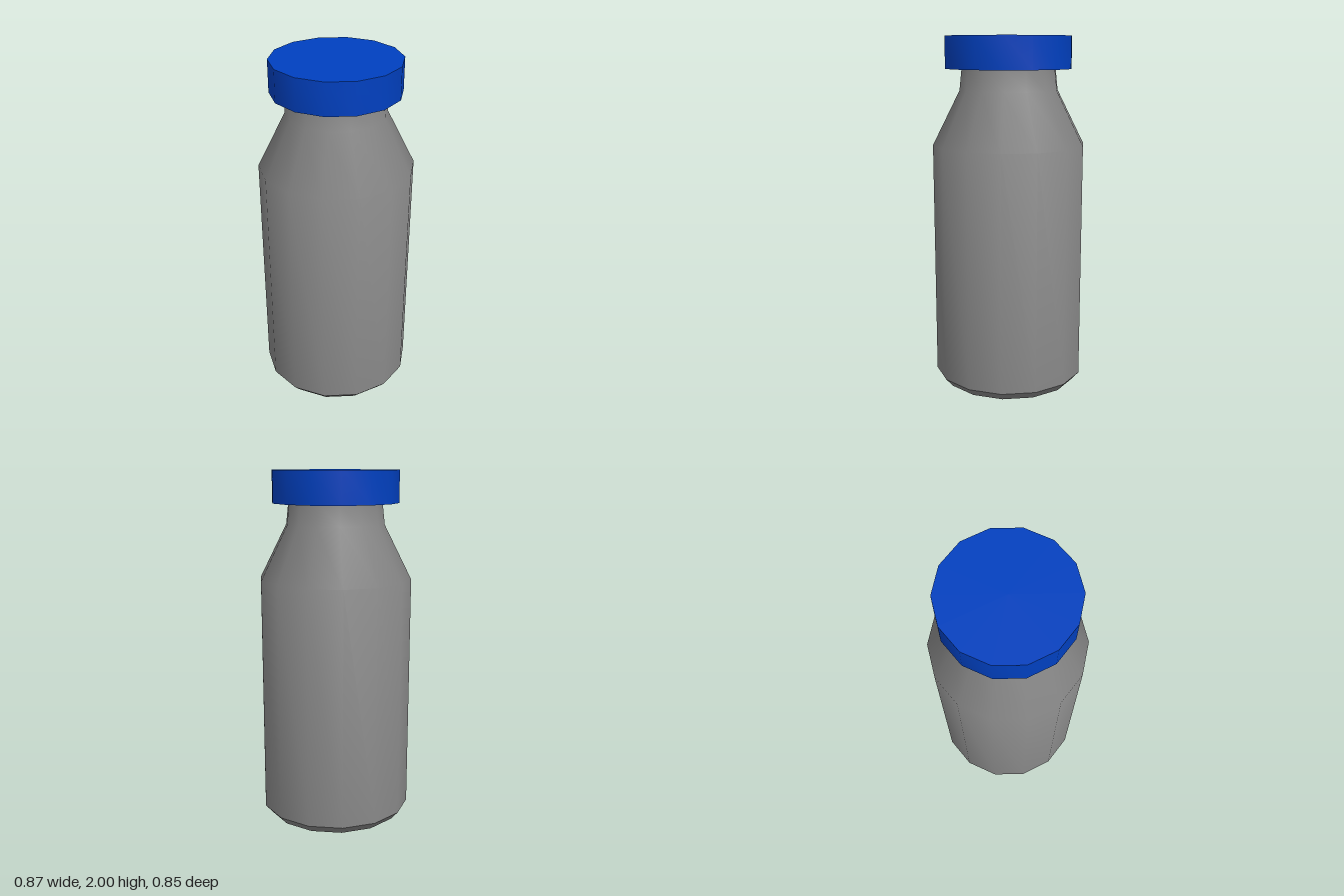
import * as THREE from 'three';
import { toCreasedNormals } from 'three/addons/utils/BufferGeometryUtils.js';

const SIDES = 14;

// Turned part from [radius, height] points, with a corner on the x axis.
// The crease angle keeps the shoulder smooth and the base chamfer sharp.
function turned(name, profile, color) {
  const points = profile.map(([r, y]) => new THREE.Vector2(r, y));
  const lathe = new THREE.LatheGeometry(points, SIDES, Math.PI / 2);
  const mesh = new THREE.Mesh(
    toCreasedNormals(lathe, THREE.MathUtils.degToRad(38.5)),
    new THREE.MeshStandardMaterial({ color })
  );
  mesh.name = name;
  return mesh;
}

export function createModel() {
  const group = new THREE.Group();
  group.name = 'bottle';

  // Body: chamfered base, straight wall, sloping shoulder, slightly tapered neck
  group.add(turned('bottleBody', [
    [0, 0], [0.39, 0], [0.434, 0.05], [0.434, 1.395],
    [0.28, 1.7], [0.267, 1.82],
  ], 0x888888));

  // Lid: closed flat disc resting on the neck
  group.add(turned('lid', [
    [0, 1.82], [0.359, 1.82], [0.359, 2], [0, 2],
  ], 0x0040c0));

  return group;
}
